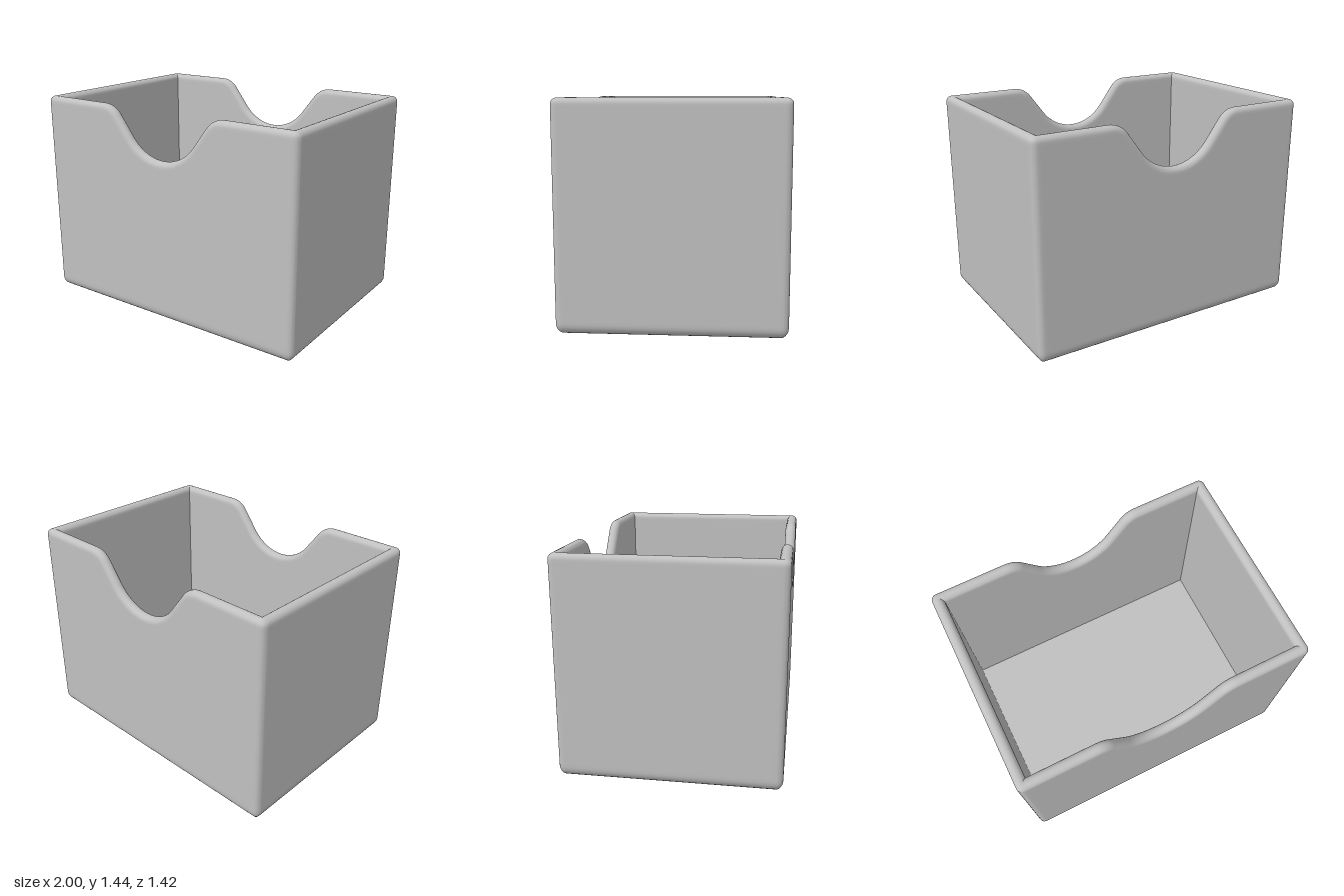
import * as THREE from 'three';
import { toCreasedNormals } from 'three/addons/utils/BufferGeometryUtils.js';

const HX = 1, HZ = 0.71, TOP = 1.44;   // half width, half depth, height
const WALL = 0.075, RIM = WALL / 2;    // wall thickness, rim rounding
const CORNER = 0.04, FOOT = 0.07;      // upright edge and bottom edge rounding

// Rim line of a notched wall: points with u along the wall, height y and upward normal
function notchLine() {
  const a = THREE.MathUtils.degToRad(52.3), R = 0.32, r = 0.15, low = 1.115, start = 0.48;
  const half = [];
  for (let i = 0; i <= 10; i++) {       // scooped bottom
    const t = a * i / 10;
    half.push({ u: R * Math.sin(t), y: low + R * (1 - Math.cos(t)), nu: -Math.sin(t), ny: Math.cos(t) });
  }
  for (let i = 8; i >= 0; i--) {        // rounded shoulder
    const t = a * i / 8;
    half.push({ u: start - r * Math.sin(t), y: TOP - r * (1 - Math.cos(t)), nu: -Math.sin(t), ny: Math.cos(t) });
  }
  half.push({ u: start + 0.03, y: TOP, nu: 0, ny: 1 });
  const mirrored = half.slice(1).reverse().map(p => ({ ...p, u: -p.u, nu: -p.nu }));
  return [...mirrored, ...half];
}

// Wall section from under the base, over the rim and down to the floor:
// d = inset from the outside, y = fixed height or e = depth below the rim line
function wallSection() {
  const rows = [{ d: FOOT + 0.02, y: 0 }];
  for (let i = 0; i <= 6; i++) {
    const t = i / 6 * Math.PI / 2;
    rows.push({ d: FOOT * (1 - Math.sin(t)), y: FOOT * (1 - Math.cos(t)) });
  }
  rows.push({ d: 0, y: FOOT + 0.02 }, { d: 0, e: 0.055 });
  for (let i = 0; i <= 12; i++) {
    const t = i / 12 * Math.PI;
    rows.push({ d: RIM * (1 - Math.cos(t)), e: RIM * (1 - Math.sin(t)) });
  }
  rows.push({ d: WALL, e: 0.055 }, { d: WALL, y: WALL });
  return rows;
}

// Columns around the box: each returns the point for one row of the section
function perimeter() {
  const columns = [];
  const sides = [[1, 0, 0, 1], [0, -1, 1, 0], [-1, 0, 0, -1], [0, 1, -1, 0]];
  sides.forEach(([tx, tz, nx, nz], k) => {
    const long = k % 2 === 0, H = long ? HX : HZ, W = long ? HZ : HX;
    const place = (u, w, y) => new THREE.Vector3(u * tx + w * nx, y, u * tz + w * nz);
    const end = u => ({ u, y: TOP, nu: 0, ny: 1 });
    const line = [end(-H + 0.06), ...(long ? notchLine() : []), end(H - 0.06)];
    for (const p of line) columns.push(({ d, y, e }) => {
      const u = y === undefined ? p.u - p.nu * e : p.u;
      return place(THREE.MathUtils.clamp(u, d - H, H - d), W - d, y ?? p.y - p.ny * e);
    });
    for (let i = 0; i <= 6; i++) {      // rounded outside corner, sharp inside
      const t = i / 6 * Math.PI / 2;
      columns.push(({ d, y, e }) => {
        const r = Math.max(CORNER - d, 0);
        return place(H - d - r + r * Math.sin(t), W - d - r + r * Math.cos(t), y ?? TOP - e);
      });
    }
  });
  return columns;
}

function boxGeometry() {
  const rows = wallSection();
  const grid = perimeter().map(column => rows.map(column));
  const pos = [];
  const tri = (a, b, c) => {
    const area = b.clone().sub(a).cross(c.clone().sub(a)).length();
    if (area > 1e-8) for (const p of [a, b, c]) pos.push(p.x, p.y, p.z);
  };
  const under = new THREE.Vector3(0, 0, 0), floor = new THREE.Vector3(0, WALL, 0);
  const last = rows.length - 1;
  grid.forEach((A, j) => {
    const B = grid[(j + 1) % grid.length];
    for (let i = 0; i < last; i++) {
      tri(A[i], B[i], B[i + 1]);
      tri(A[i], B[i + 1], A[i + 1]);
    }
    tri(B[0], A[0], under);
    tri(A[last], B[last], floor);
  });
  const geometry = new THREE.BufferGeometry();
  geometry.setAttribute('position', new THREE.Float32BufferAttribute(pos, 3));
  return toCreasedNormals(geometry, 0.5);
}

export function createModel() {
  const grey = new THREE.MeshStandardMaterial({ color: 0xc0c0c0 });
  grey.name = 'light grey';
  const box = new THREE.Mesh(boxGeometry(), grey);
  box.name = 'openBox';
  const group = new THREE.Group();
  group.name = 'notchedBox';
  group.add(box);
  return group;
}
